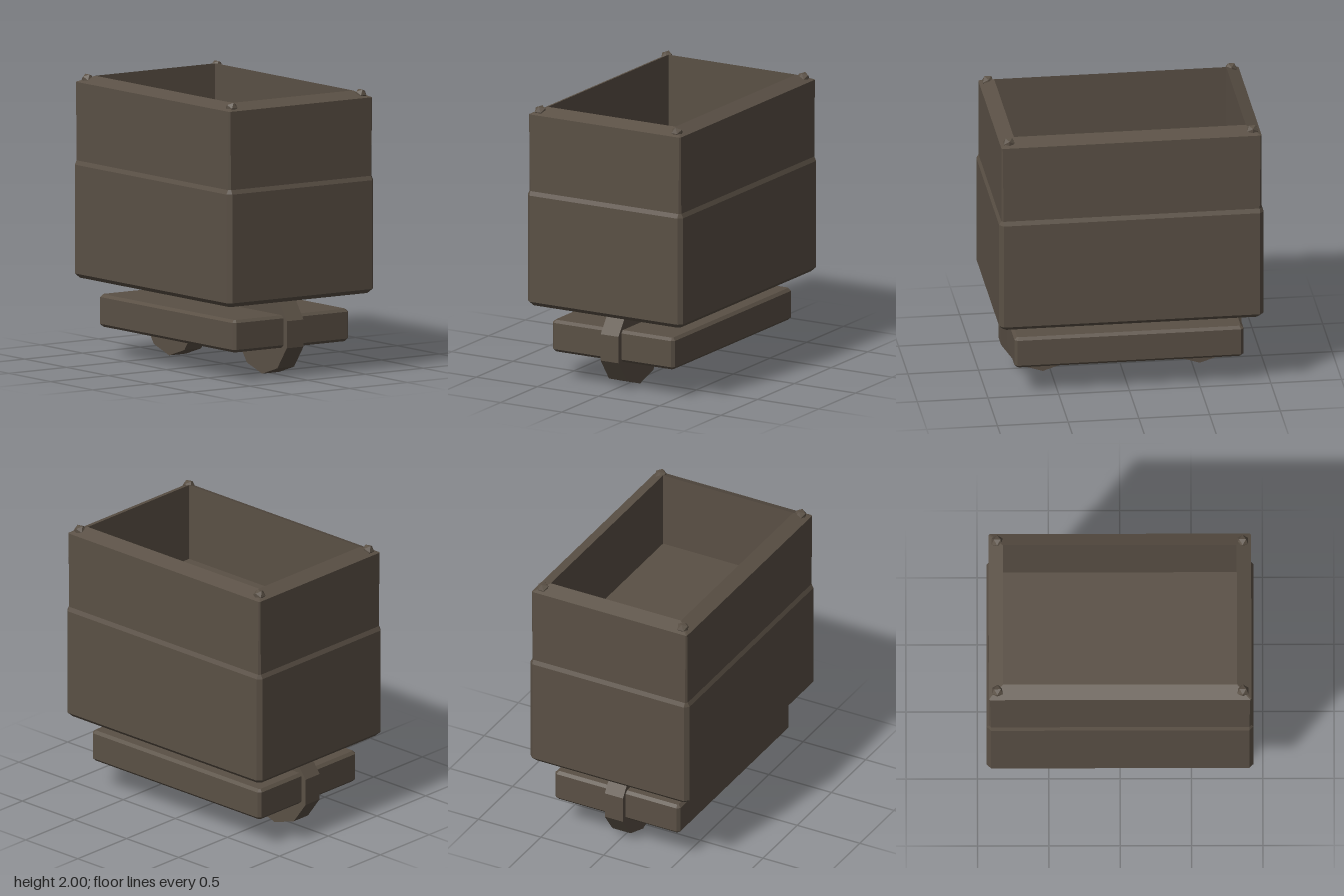
import * as THREE from 'three';

// Eight-point rectangular cross-section with cut corners, counterclockwise seen from above
function section([hx, hz, y, cut]) {
  return [
    [hx, hz - cut], [hx, -hz + cut], [hx - cut, -hz], [-hx + cut, -hz],
    [-hx, -hz + cut], [-hx, hz - cut], [-hx + cut, hz], [hx - cut, hz],
  ].map(([x, z]) => [x, y, z]);
}

// Faceted closed solid lofted through a list of [halfX, halfZ, y, cornerCut]
function loft(levels) {
  const rings = levels.map(section);
  const pos = [];
  const tri = (...points) => points.forEach((p) => pos.push(...p));
  const bottom = [0, levels[0][2], 0];
  const end = [0, levels[levels.length - 1][2], 0];
  const last = rings[rings.length - 1];
  for (let i = 0; i < 8; i++) {
    const j = (i + 1) % 8;
    tri(bottom, rings[0][j], rings[0][i]);
    for (let k = 0; k + 1 < rings.length; k++) {
      const a = rings[k], b = rings[k + 1];
      tri(a[i], a[j], b[j]);
      tri(a[i], b[j], b[i]);
    }
    tri(end, last[i], last[j]);
  }
  const geometry = new THREE.BufferGeometry();
  geometry.setAttribute('position', new THREE.Float32BufferAttribute(pos, 3));
  geometry.computeVertexNormals();
  return geometry;
}

function faceted(geometry) {
  const flat = geometry.index ? geometry.toNonIndexed() : geometry;
  flat.computeVertexNormals();
  return flat;
}

export function createModel() {
  const model = new THREE.Group();
  model.name = 'cart';
  const darkBrown = new THREE.MeshStandardMaterial({ color: 0x5a5045 });
  darkBrown.name = 'darkBrown';

  function add(name, geometry, x = 0, y = 0, z = 0) {
    const mesh = new THREE.Mesh(geometry, darkBrown);
    mesh.name = name;
    mesh.position.set(x, y, z);
    model.add(mesh);
    return mesh;
  }

  // Open tub: bevelled base, stepped wall, sloping rim, recessed floor
  add('tub', loft([
    [0.905, 0.605, 0.56, 0.02],
    [0.935, 0.635, 0.59, 0.03],
    [0.935, 0.635, 1.36, 0.03],
    [0.92, 0.62, 1.39, 0.015],
    [0.92, 0.62, 1.945, 0.008],
    [0.82, 0.52, 1.99, 0.002],
    [0.82, 0.52, 1.43, 0.002],
  ]));

  // Bevelled chassis slab
  add('chassis', loft([
    [0.79, 0.48, 0.215, 0.01],
    [0.81, 0.5, 0.235, 0.02],
    [0.81, 0.5, 0.425, 0.02],
    [0.79, 0.48, 0.445, 0.01],
  ]));

  // Ten-sided wheels, one behind the other on the centre line
  const wheel = new THREE.CylinderGeometry(0.31, 0.31, 0.145, 10);
  wheel.rotateX(Math.PI / 2);
  const wheelGeometry = faceted(wheel);
  for (const side of [-1, 1]) {
    add(side < 0 ? 'rightWheel' : 'leftWheel', wheelGeometry, side * 0.555, 0.313, 0);
  }

  // Small lumps on the rim corners
  const lump = faceted(new THREE.IcosahedronGeometry(0.045, 0));
  for (const sx of [-1, 1]) {
    for (const sz of [-1, 1]) {
      add('rimLump', lump, sx * 0.86, 1.962, sz * 0.558);
    }
  }
  return model;
}
